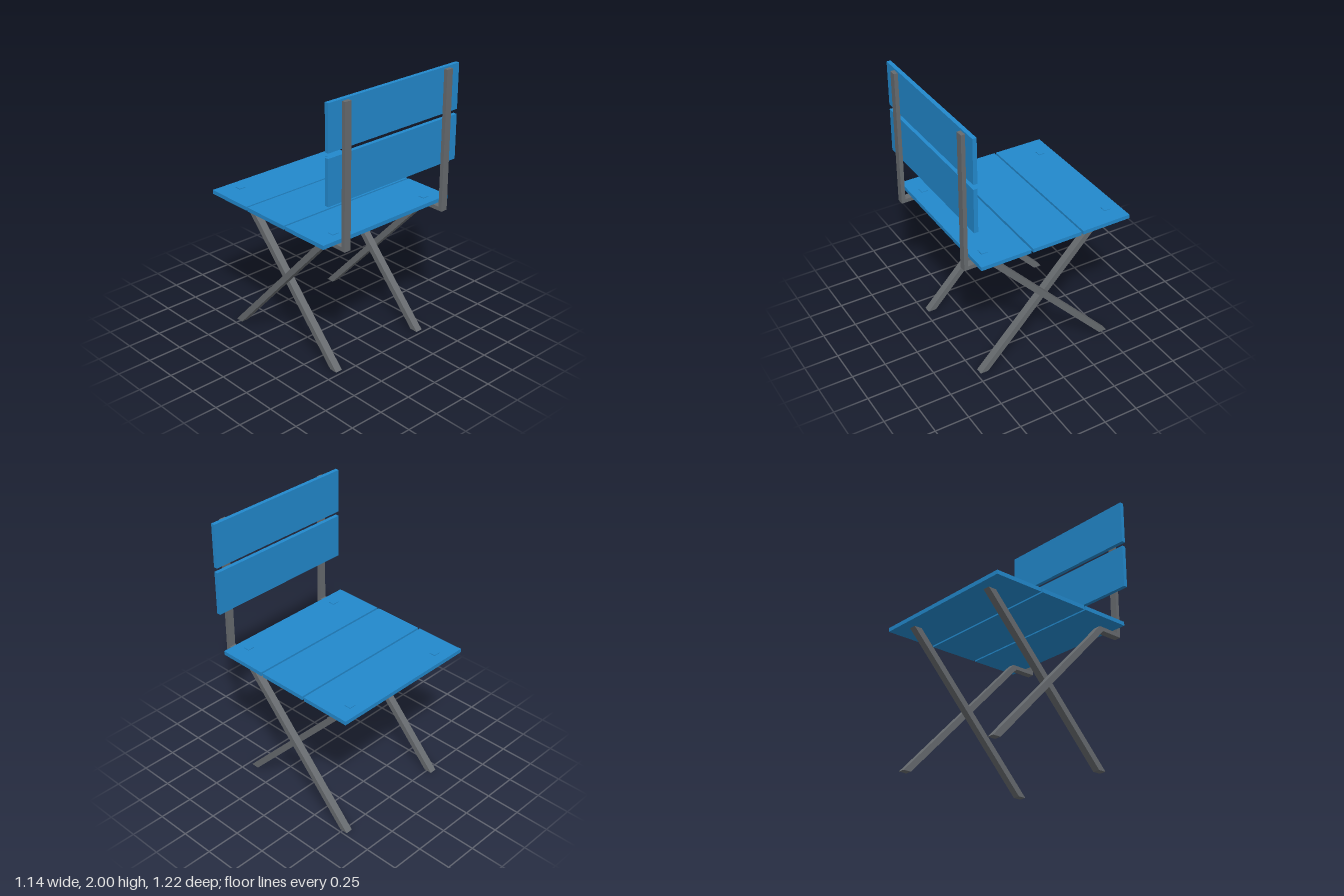
import * as THREE from 'three';

export function createModel() {
  const group = new THREE.Group();
  const blue = new THREE.MeshStandardMaterial({ color: 0x2288cc });
  blue.name = 'blue paint';
  const grey = new THREE.MeshStandardMaterial({ color: 0x666a6e });
  grey.name = 'grey metal';

  function add(geometry, material, name) {
    const mesh = new THREE.Mesh(geometry, material);
    mesh.name = name;
    group.add(mesh);
  }

  // Box given by its lower and upper limits
  function box(name, material, [x0, x1], [y0, y1], [z0, z1]) {
    const g = new THREE.BoxGeometry(x1 - x0, y1 - y0, z1 - z0);
    g.translate((x0 + x1) / 2, (y0 + y1) / 2, (z0 + z1) / 2);
    add(g, material, name);
  }

  // Bar with a side outline in [z, y], extruded across x
  function bar(name, outline, x0, x1) {
    const shape = new THREE.Shape(outline.map(([z, y]) => new THREE.Vector2(z, y)));
    const g = new THREE.ExtrudeGeometry(shape, { depth: x1 - x0, bevelEnabled: false });
    g.rotateY(-Math.PI / 2);
    g.translate(x1, 0, 0);
    add(g, grey, name);
  }

  // Seat planks
  const width = [-0.573, 0.57];
  for (const z of [[-0.61, -0.238], [-0.224, 0.15], [0.165, 0.535]]) {
    box('seatPlank', blue, width, [1.013, 1.042], z);
  }

  // Backrest planks
  for (const y of [[1.325, 1.645], [1.68, 2.0]]) {
    box('backPlank', blue, width, y, [0.553, 0.582]);
  }

  // Leg that bends under the seat and rises into the back post
  const postLeg = [
    [-0.54, 0], [-0.48, 0], [0.443, 0.983], [0.61, 0.983], [0.61, 1.987],
    [0.582, 1.987], [0.582, 1.012], [0.412, 1.012],
  ];
  // Straight leg crossing it
  const crossLeg = [[0.413, 0], [0.473, 0], [-0.476, 1.013], [-0.536, 1.013]];

  // Frame and bolt heads on each side
  const centre = 0.01;
  for (const side of [-1, 1]) {
    const span = (a, b) => [centre + side * a, centre + side * b].sort((p, q) => p - q);
    bar('backPostLeg', postLeg, ...span(0.419, 0.471));
    bar('crossLeg', crossLeg, ...span(0.363, 0.416));
    for (const z of [[-0.537, -0.489], [0.42, 0.467]]) {
      box('boltHead', blue, span(0.391, 0.441), [1.03, 1.047], z);
    }
  }

  return group;
}
